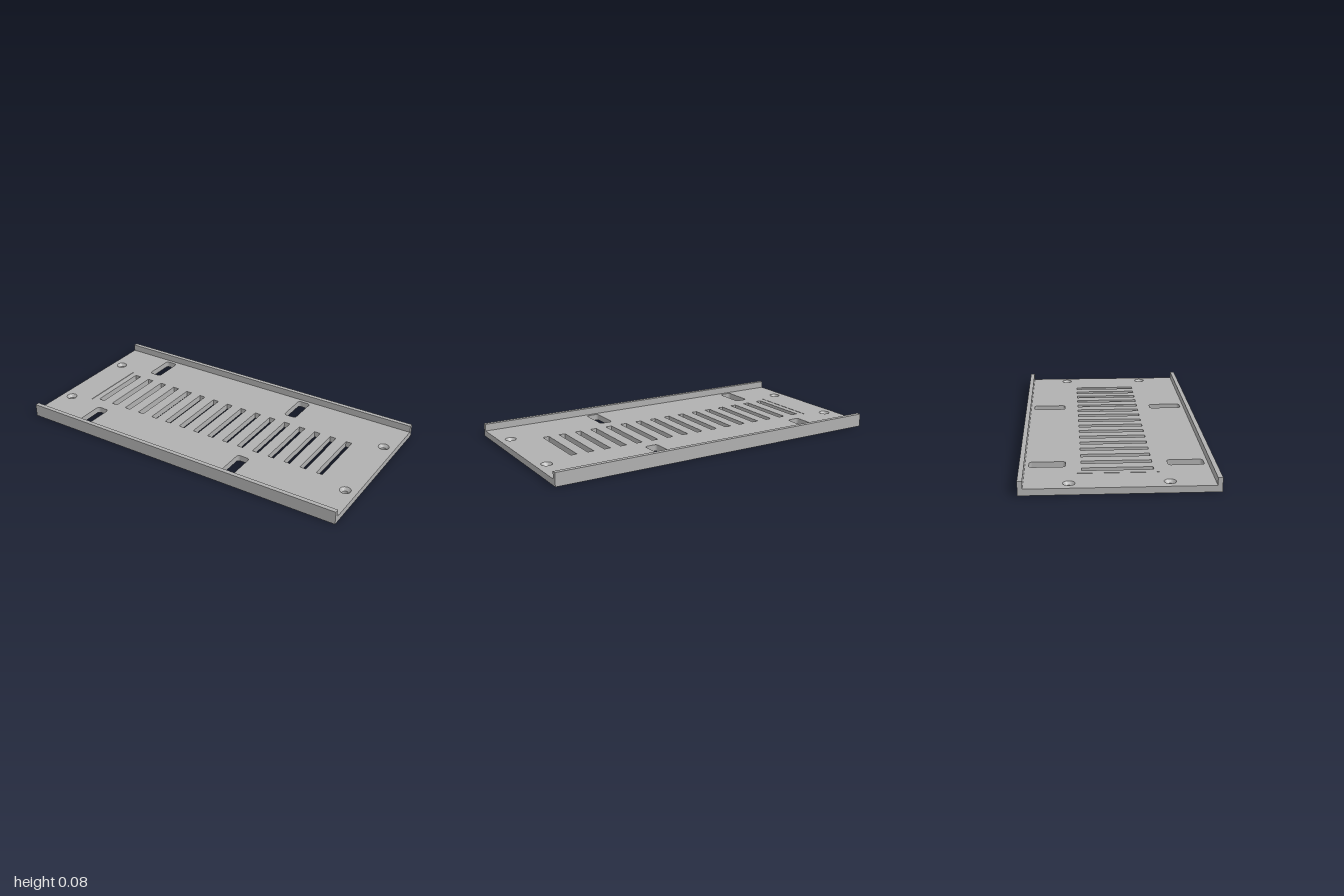
import * as THREE from 'three';
import { toCreasedNormals } from 'three/addons/utils/BufferGeometryUtils.js';

const THICK = 0.035, RAIL_H = 0.075, RAIL_W = 0.025;

// Closed rectangle outline, optionally with rounded corners
function rect(path, cx, cy, w, h, r = 0) {
  const x0 = cx - w / 2, x1 = cx + w / 2, y0 = cy - h / 2, y1 = cy + h / 2;
  path.moveTo(x0 + r, y0);
  path.lineTo(x1 - r, y0);
  if (r) path.absarc(x1 - r, y0 + r, r, -Math.PI / 2, 0);
  path.lineTo(x1, y1 - r);
  if (r) path.absarc(x1 - r, y1 - r, r, 0, Math.PI / 2);
  path.lineTo(x0 + r, y1);
  if (r) path.absarc(x0 + r, y1 - r, r, Math.PI / 2, Math.PI);
  path.lineTo(x0, y0 + r);
  if (r) path.absarc(x0 + r, y0 + r, r, Math.PI, Math.PI * 1.5);
  path.closePath();
  return path;
}

export function createModel() {
  const group = new THREE.Group();
  const metal = new THREE.MeshStandardMaterial({ color: 0xb0b0b0 });
  metal.name = 'grey metal';

  function add(name, geometry, x = 0, y = 0, z = 0) {
    const mesh = new THREE.Mesh(geometry, metal);
    mesh.name = name;
    mesh.position.set(x, y, z);
    group.add(mesh);
  }

  const plate = rect(new THREE.Shape(), 0, 0, 2, 1);
  const cut = (...args) => plate.holes.push(rect(new THREE.Path(), ...args));

  // Row of ventilation slots, with a hairline slit beside the first
  for (let i = 0; i < 16; i++) cut(-0.75 + i * 0.1, 0, 0.037, 0.37);
  cut(-0.807, 0, 0.004, 0.42);

  // Rounded mounting slots
  for (const x of [-0.673, 0.323]) {
    for (const s of [-1, 1]) cut(x, s * 0.36, 0.075, 0.19, 0.016);
  }

  // Countersunk screw holes: opening in the plate plus a turned lining
  const sink = toCreasedNormals(new THREE.LatheGeometry([
    new THREE.Vector2(0.031, THICK),
    new THREE.Vector2(0.016, 0.018),
    new THREE.Vector2(0.016, 0),
    new THREE.Vector2(0.031, 0),
  ], 32), 0.5);
  for (const x of [-0.935, 0.935]) {
    for (const z of [-0.25, 0.25]) {
      const hole = new THREE.Path();
      hole.absarc(x, z, 0.031, 0, Math.PI * 2);
      plate.holes.push(hole);
      add('screwHole', sink, x, 0, z);
    }
  }

  const plateGeometry = new THREE.ExtrudeGeometry(plate, { depth: THICK, bevelEnabled: false, curveSegments: 16 });
  plateGeometry.rotateX(-Math.PI / 2);
  add('ventPlate', plateGeometry);

  // Upstanding edges along the front and back
  const railHeight = RAIL_H - THICK;
  const rail = new THREE.BoxGeometry(2, railHeight, RAIL_W);
  for (const s of [-1, 1]) {
    add(s > 0 ? 'frontRail' : 'backRail', rail, 0, THICK + railHeight / 2, s * (0.5 - RAIL_W / 2));
  }

  return group;
}
